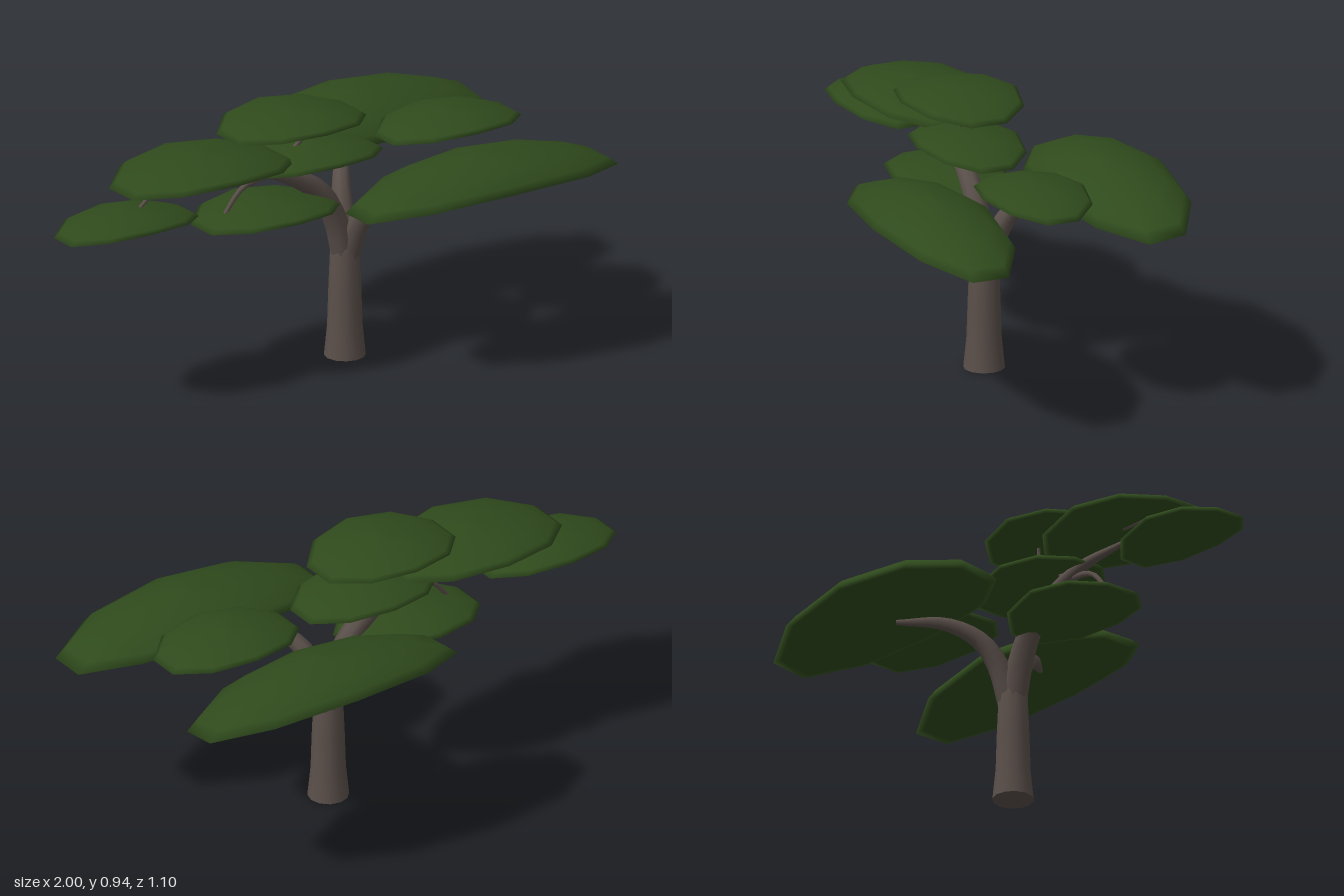
import * as THREE from 'three';

const bark = new THREE.MeshStandardMaterial({ color: 0x5a4f4a, side: THREE.DoubleSide });
const leaf = new THREE.MeshStandardMaterial({ color: 0x2f4a1c });

// Ten-sided flattened dome whose two ends droop along x.
function foliagePad(name, { x, z = 0, rim, halfX, halfZ, top, under = 0.012, droop, roll = 0 }) {
  const geo = new THREE.SphereGeometry(1, 10, 8).rotateY(Math.PI / 2);
  const p = geo.attributes.position;
  const reach = halfX / Math.cos(Math.PI / 10);
  for (let i = 0; i < p.count; i++) {
    const px = p.getX(i), py = p.getY(i);
    const h = py > 0 ? top * Math.pow(py, 1.3) : under * py;
    p.setXYZ(i, px * reach, h - droop * px * px, p.getZ(i) * halfZ);
  }
  // Average normals over the whole surface, joining the seam.
  geo.computeVertexNormals();
  const n = geo.attributes.normal, a = new THREE.Vector3(), b = new THREE.Vector3();
  for (let row = 0; row <= 8; row++) {
    const i = row * 11, j = i + 10;
    a.fromBufferAttribute(n, i).add(b.fromBufferAttribute(n, j)).normalize();
    n.setXYZ(i, a.x, a.y, a.z);
    n.setXYZ(j, a.x, a.y, a.z);
  }
  const mesh = new THREE.Mesh(geo, leaf);
  mesh.name = name;
  mesh.position.set(x, rim, z);
  mesh.rotation.x = roll;
  return mesh;
}

// Tube along a curve, tapering through the given radii.
function branch(name, points, radii, sides = 8) {
  const curve = new THREE.CatmullRomCurve3(points.map((q) => new THREE.Vector3(...q)));
  const steps = points.length * 3;
  const geo = new THREE.TubeGeometry(curve, steps, 1, sides);
  const p = geo.attributes.position, v = new THREE.Vector3(), c = new THREE.Vector3();
  for (let i = 0; i < p.count; i++) {
    const u = Math.floor(i / (sides + 1)) / steps;
    const s = u * (radii.length - 1), k = Math.min(Math.floor(s), radii.length - 2);
    const r = THREE.MathUtils.lerp(radii[k], radii[k + 1], s - k);
    curve.getPointAt(u, c);
    v.fromBufferAttribute(p, i).sub(c).multiplyScalar(r).add(c);
    p.setXYZ(i, v.x, v.y, v.z);
  }
  const mesh = new THREE.Mesh(geo, bark);
  mesh.name = name;
  return mesh;
}

export function createModel() {
  const tree = new THREE.Group();
  tree.name = 'flatToppedTree';

  // Flared trunk with a closed foot
  const trunk = new THREE.Group();
  trunk.name = 'trunk';
  const profile = [[0.071, 0], [0.06, 0.11], [0.056, 0.24], [0.05, 0.38], [0.038, 0.43], [0, 0.45]];
  const shaft = new THREE.Mesh(
    new THREE.LatheGeometry(profile.map(([r, y]) => new THREE.Vector2(r, y)), 12), bark);
  shaft.name = 'trunkShaft';
  const foot = new THREE.Mesh(new THREE.CircleGeometry(0.071, 12).rotateX(Math.PI / 2), bark);
  foot.name = 'trunkFoot';
  trunk.add(shaft, foot);
  trunk.position.x = 0.157;
  tree.add(trunk);

  // Main limbs
  tree.add(
    branch('rightLimb',
      [[0.155, 0.36, 0], [0.12, 0.49, 0], [0.06, 0.6, 0], [-0.06, 0.685, 0], [-0.2, 0.735, 0], [-0.43, 0.745, 0]],
      [0.046, 0.043, 0.036, 0.026, 0.017, 0.009]),
    branch('frontLimb',
      [[0.165, 0.36, 0.005], [0.18, 0.48, 0.045], [0.21, 0.56, 0.1], [0.28, 0.615, 0.19], [0.39, 0.655, 0.31]],
      [0.044, 0.038, 0.03, 0.021, 0.009]),
    branch('backLimb',
      [[0.165, 0.36, -0.005], [0.18, 0.49, -0.045], [0.21, 0.58, -0.1], [0.28, 0.64, -0.19], [0.4, 0.655, -0.31]],
      [0.044, 0.038, 0.03, 0.021, 0.009]));

  // Thin twigs carrying the small pads
  tree.add(
    branch('topTwig', [[-0.13, 0.715, 0], [-0.06, 0.78, 0], [0.02, 0.855, 0], [0.02, 0.9, 0]], [0.01, 0.006], 6),
    branch('lowerTwig', [[-0.13, 0.715, 0], [-0.26, 0.69, 0], [-0.35, 0.59, 0]], [0.012, 0.007], 6),
    branch('outerTwig', [[-0.43, 0.8, 0], [-0.58, 0.78, 0], [-0.71, 0.685, 0]], [0.01, 0.006], 6));

  // Foliage pads
  const small = { halfX: 0.262, top: 0.04, droop: 0.028 };
  tree.add(
    foliagePad('outerPad', { ...small, x: -0.738, rim: 0.675, halfZ: 0.165 }),
    foliagePad('upperPad', { ...small, x: -0.43, rim: 0.805, halfX: 0.33, halfZ: 0.232, top: 0.05, droop: 0.037 }),
    foliagePad('topPad', { ...small, x: -0.062, rim: 0.9, halfZ: 0.212 }),
    foliagePad('lowerPad', { ...small, x: -0.168, rim: 0.598, halfZ: 0.2 }),
    foliagePad('middlePad', { ...small, x: 0.012, rim: 0.76, halfZ: 0.185 }),
    foliagePad('leftPad', { ...small, x: 0.578, rim: 0.76, halfZ: 0.185 }),
    foliagePad('frontPad', {
      x: 0.487, z: 0.335, rim: 0.675, halfX: 0.513, halfZ: 0.215, top: 0.085, under: 0.02, droop: 0.05 }),
    foliagePad('backPad', {
      x: 0.423, z: -0.335, rim: 0.7, halfX: 0.513, halfZ: 0.217, top: 0.095, under: 0.02, droop: 0.045, roll: 0.13 }));

  return tree;
}
